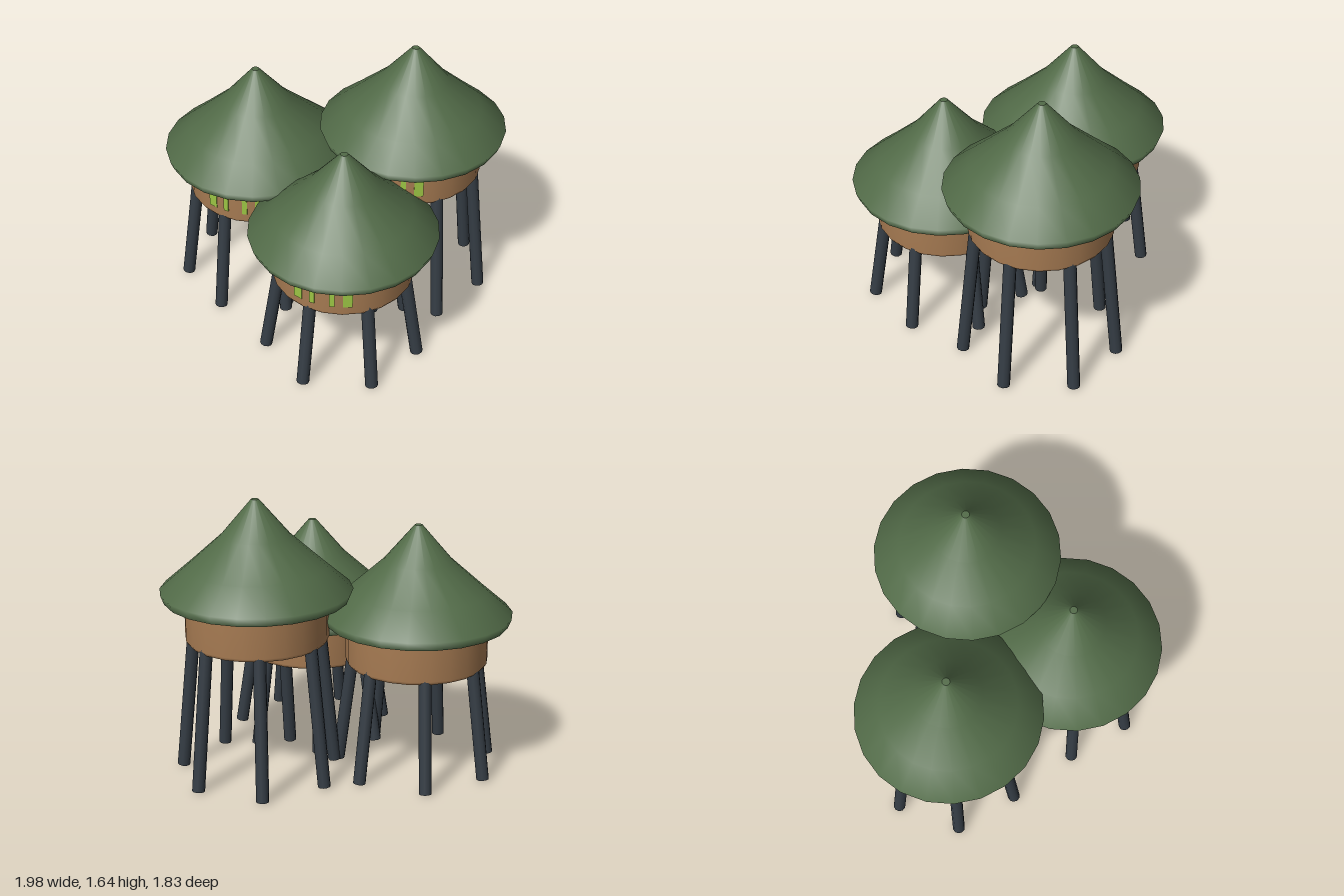
import * as THREE from 'three';

const SIDES = 22;
const mat = (name, color) => {
  const m = new THREE.MeshStandardMaterial({ color });
  m.name = name;
  return m;
};

function mesh(name, geometry, material) {
  const m = new THREE.Mesh(geometry, material);
  m.name = name;
  return m;
}

// Turned surface from [radius, height] pairs, listed bottom to top
const turned = (pts) =>
  new THREE.LatheGeometry(pts.map(([r, y]) => new THREE.Vector2(r, y)), SIDES);

// Straight round post between two points
function post(a, b, radius, material) {
  const dir = b.clone().sub(a);
  const m = mesh('leg', new THREE.CylinderGeometry(radius, radius, dir.length(), 10), material);
  m.position.copy(a).add(b).multiplyScalar(0.5);
  m.quaternion.setFromUnitVectors(new THREE.Vector3(0, 1, 0), dir.normalize());
  return m;
}

export function createModel() {
  const thatch = mat('green thatch', 0x526b48);
  const clay = mat('tan wall', 0xa87c53);
  const timber = mat('dark timber', 0x353d45);
  const glow = mat('lime window', 0x9bc544);

  const floorGeo = turned([[0, 0], [0.4, 0]]);
  const wallGeo = turned([[0.4, 0], [0.413, 0.02], [0.413, 0.26]]);
  const eavesGeo = turned([[0, 0], [0.53, 0]]);
  const roofGeo = turned([[0.53, 0], [0.55, 0.05], [0.4, 0.18], [0.2, 0.36], [0.022, 0.57]]);
  const tipGeo = turned([[0.022, 0.57], [0, 0.57]]);

  function hut(name, x, z, base) {
    const g = new THREE.Group();
    g.name = name;
    g.position.set(x, 0, z);

    // Round room
    const room = new THREE.Group();
    room.name = 'room';
    room.position.y = base;
    room.add(mesh('floor', floorGeo, clay), mesh('wall', wallGeo, clay));

    // Front windows: narrow inner pair, wide outer pair
    for (const side of [-1, 1]) {
      for (const [offset, width] of [[0.058, 0.03], [0.145, 0.054]]) {
        const angle = side * Math.asin(offset / 0.412);
        const w = mesh('window', new THREE.BoxGeometry(width, 0.105, 0.009), glow);
        w.position.set(Math.sin(angle) * 0.411, 0.12, Math.cos(angle) * 0.411);
        w.rotation.y = angle;
        room.add(w);
      }
    }

    // Conical roof with a slight flare
    const roof = new THREE.Group();
    roof.name = 'roof';
    roof.position.y = base + 0.25;
    roof.add(mesh('eaves', eavesGeo, thatch), mesh('thatch', roofGeo, thatch), mesh('roofTip', tipGeo, thatch));

    // Seven splayed stilts
    const legs = new THREE.Group();
    legs.name = 'legs';
    for (let i = 0; i < 7; i++) {
      const a = (i / 7) * Math.PI * 2;
      const at = (r, y) => new THREE.Vector3(Math.cos(a) * r, y, Math.sin(a) * r);
      legs.add(post(at(0.46, 0.006), at(0.37, base + 0.05), 0.037, timber));
    }

    g.add(room, roof, legs);
    return g;
  }

  const model = new THREE.Group();
  model.name = 'stiltHuts';
  model.add(
    hut('rightHut', -0.45, -0.135, 0.645),
    hut('frontHut', 0.24, 0.36, 0.52),
    hut('backHut', 0.445, -0.365, 0.82)
  );
  return model;
}
